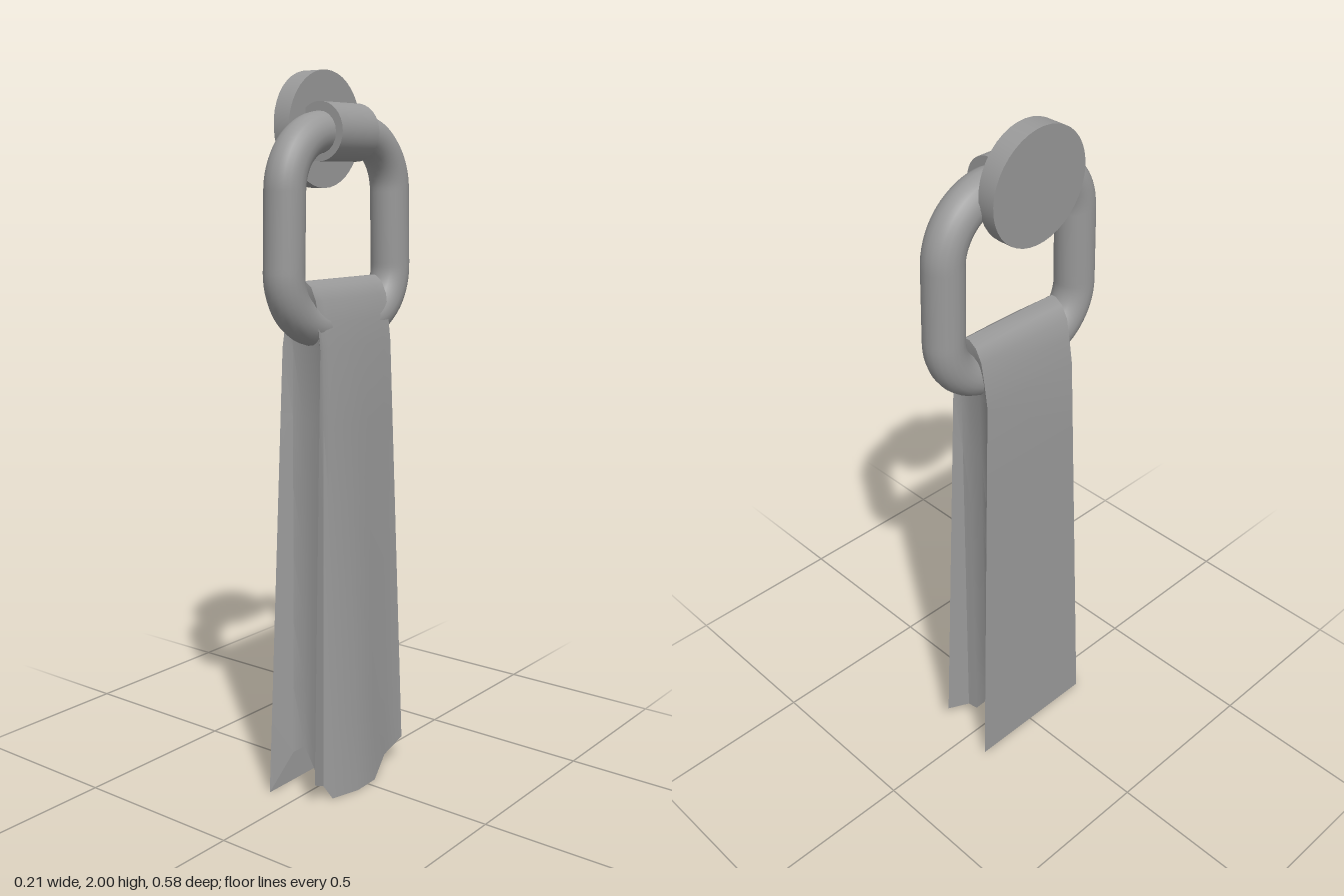
import * as THREE from 'three';
import { toCreasedNormals } from 'three/addons/utils/BufferGeometryUtils.js';

const grey = new THREE.MeshStandardMaterial({ color: 0x999999, side: THREE.DoubleSide });
grey.name = 'grey';

function add(group, name, geometry) {
  const mesh = new THREE.Mesh(geometry, grey);
  mesh.name = name;
  group.add(mesh);
  return mesh;
}

// Rounded rectangular loop in the yz plane, slightly narrower at the top
function ringPath() {
  const path = new THREE.CurvePath();
  const r = 0.15, top = 1.835, bottom = 1.327, wTop = 0.225, wBottom = 0.238;
  const v = (y, z) => new THREE.Vector3(0, y, z);
  const corners = [v(top, wTop), v(bottom, wBottom), v(bottom, -wBottom), v(top, -wTop)];
  const points = [];
  corners.forEach((c, i) => {
    const before = corners[(i + 3) % 4].clone().sub(c).setLength(r).add(c);
    const after = corners[(i + 1) % 4].clone().sub(c).setLength(r).add(c);
    const k = 0.45;
    const bend = new THREE.CubicBezierCurve3(before, before.clone().lerp(c, 1 - k), after.clone().lerp(c, 1 - k), after);
    points.push(bend);
  });
  points.forEach((bend, i) => {
    path.add(bend);
    path.add(new THREE.LineCurve3(bend.v3, points[(i + 1) % 4].v0));
  });
  return path;
}

// Hanging cloth: pleated outline lofted from the uneven hem up to the fold over the bar
function towelGeometry() {
  // x, z, hem height
  const hem = [
    [-0.085, -0.2, 0], [-0.085, 0.215, 0],
    [-0.05, 0.15, 0.11], [-0.02, 0.135, 0.13], [0.02, 0.14, 0.07], [0.05, 0.145, 0.07],
    [0.08, 0.215, 0.07], [0.062, 0.155, 0.04], [0.08, 0.135, 0], [0.105, 0.05, 0],
    [0.102, -0.035, 0], [0.075, -0.12, 0.04], [0.08, -0.2, 0.07],
    [0.05, -0.14, 0.07], [0.02, -0.135, 0.07], [-0.02, -0.13, 0.13], [-0.05, -0.145, 0.11],
  ];
  const neck = [
    [-0.07, -0.155], [-0.07, 0.16],
    [-0.05, 0.14], [-0.02, 0.135], [0.02, 0.135], [0.045, 0.14],
    [0.06, 0.16], [0.056, 0.142], [0.06, 0.125], [0.066, 0.05],
    [0.066, -0.035], [0.062, -0.12], [0.06, -0.155],
    [0.045, -0.14], [0.02, -0.135], [-0.02, -0.135], [-0.05, -0.14],
  ];
  const n = hem.length, position = [], index = [];
  const steps = 6;
  for (let s = 0; s <= steps; s++) {
    const t = s / steps;
    hem.forEach(([x, z, y], i) => position.push(
      x + (neck[i][0] - x) * t, y + (1.27 - y) * t, z + (neck[i][1] - z) * t));
  }
  // Rounded fold: x narrows, the ends straighten
  const fold = [[1.34, 0.86, 0.4], [1.4, 0.72, 0.8], [1.435, 0.45, 1], [1.45, 0.12, 1]];
  for (const [y, sx, flat] of fold) {
    neck.forEach(([x, z], i) => {
      const end = Math.abs(z) > 0.13 ? Math.sign(z) * 0.156 : z;
      position.push(x * sx, y, z + (end - z) * flat);
    });
  }
  const rows = steps + fold.length;
  for (let r = 0; r < rows; r++) {
    for (let i = 0; i < n; i++) {
      const a = r * n + i, b = r * n + (i + 1) % n;
      index.push(a, b, a + n, b, b + n, a + n);
    }
  }
  // Close the narrow strip along the top
  const c = position.length / 3;
  position.push(0, 1.45, 0);
  for (let i = 0; i < n; i++) index.push(rows * n + i, rows * n + (i + 1) % n, c);
  const geometry = new THREE.BufferGeometry();
  geometry.setAttribute('position', new THREE.Float32BufferAttribute(position, 3));
  geometry.setIndex(index);
  return toCreasedNormals(geometry, 0.6);
}

export function createModel() {
  const group = new THREE.Group();
  group.name = 'towelRing';

  // Wall plate, thicker towards the top
  const plate = new THREE.CylinderGeometry(0.155, 0.155, 1, 40);
  plate.rotateZ(Math.PI / 2);
  const p = plate.attributes.position;
  for (let i = 0; i < p.count; i++) {
    const y = p.getY(i) / 0.155;
    p.setX(i, p.getX(i) < 0 ? -0.098 - 0.008 * y : -0.048 + 0.004 * y);
  }
  plate.translate(0, 1.845, 0);
  add(group, 'wallPlate', toCreasedNormals(plate, 0.6));

  // Barrel that holds the ring
  const barrel = new THREE.CylinderGeometry(0.077, 0.077, 0.16, 32);
  barrel.rotateX(Math.PI / 2);
  add(group, 'barrel', barrel).position.set(0, 1.837, 0.006);

  add(group, 'ring', new THREE.TubeGeometry(ringPath(), 120, 0.055, 20, true));
  add(group, 'towel', towelGeometry());
  return group;
}
